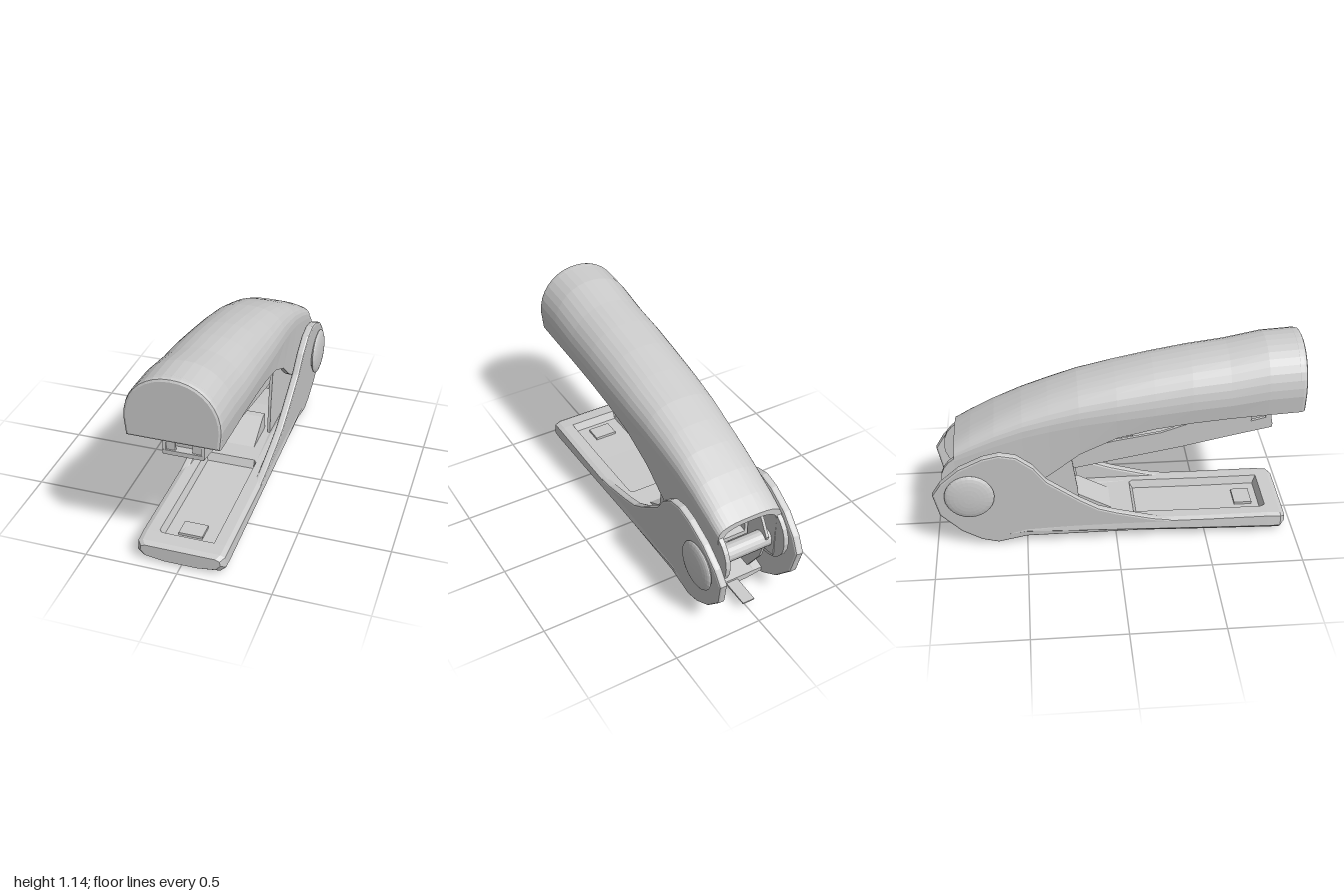
import * as THREE from 'three';

const material = new THREE.MeshStandardMaterial({ color: 0xcccccc, flatShading: true, side: THREE.DoubleSide });

function add(group, name, geometry, x = 0, y = 0, z = 0) {
  const mesh = new THREE.Mesh(geometry, material);
  mesh.name = name;
  mesh.position.set(x, y, z);
  group.add(mesh);
  return mesh;
}

// Joins mirrored, closed cross-sections running from front to back, and caps both ends
function loft(rings) {
  const n = rings[0].length, last = (rings.length - 1) * n, index = [];
  for (let i = 0; i < rings.length - 1; i++) {
    for (let k = 0; k < n; k++) {
      const a = i * n + k, b = i * n + (k + 1) % n;
      index.push(a, b, a + n, b, b + n, a + n);
    }
  }
  for (let k = 0; k < n / 2 - 1; k++) {
    const a = k, b = k + 1, c = n - 1 - k, d = n - 2 - k;
    index.push(a, c, b, b, c, d);
    index.push(last + a, last + b, last + c, last + b, last + d, last + c);
  }
  const geometry = new THREE.BufferGeometry();
  geometry.setAttribute('position', new THREE.Float32BufferAttribute(rings.flat(2), 3));
  geometry.setIndex(index);
  geometry.computeVertexNormals();
  return geometry;
}

// Extrudes a [z, y] side outline across x, centred on x = 0
function sidePlate(points, thickness, bevel = 0, holes = []) {
  const toVectors = (list) => list.map(([z, y]) => new THREE.Vector2(z, y));
  const shape = new THREE.Shape(toVectors(points));
  holes.forEach((h) => shape.holes.push(new THREE.Path(toVectors(h))));
  const depth = thickness - 2 * bevel;
  const geometry = new THREE.ExtrudeGeometry(shape, {
    depth, bevelEnabled: bevel > 0, bevelThickness: bevel, bevelSize: bevel, bevelOffset: -bevel, bevelSegments: 2,
  });
  geometry.translate(0, 0, -depth / 2);
  geometry.rotateY(-Math.PI / 2);
  return geometry;
}

// Moves vertices sideways according to their height
function lean(geometry, offset) {
  const p = geometry.attributes.position;
  for (let i = 0; i < p.count; i++) p.setX(i, p.getX(i) + offset(p.getY(i)));
  geometry.computeVertexNormals();
  return geometry;
}

// Outer half of the handle arch: bottom left, over the top, bottom right
function arch(z, top, bottom, width, rise, power, inset = 0) {
  const w = width - inset, t = top - inset, steps = 18;
  const points = [[-w * 0.96, bottom, z]];
  for (let i = 0; i <= steps; i++) {
    const a = Math.PI * (1 - i / steps), c = Math.cos(a), s = Math.sin(a);
    const x = Math.sign(c) * Math.abs(c) ** (2 / power) * w;
    points.push([x, t - rise + rise * Math.max(s, 0) ** (2 / power), z]);
  }
  points.push([w * 0.96, bottom, z]);
  return points;
}

function makeHandle(group) {
  // z, top, bottom, half width, arch rise, squareness
  const stations = [
    [0.97, 1.155, 0.805, 0.246, 0.25, 2.1], [0.8, 1.145, 0.795, 0.246, 0.25, 2.1],
    [0.6, 1.105, 0.78, 0.243, 0.24, 2.1], [0.4, 1.075, 0.76, 0.24, 0.23, 2.2],
    [0.2, 1.04, 0.73, 0.236, 0.22, 2.2], [0, 0.995, 0.68, 0.23, 0.2, 2.3],
    [-0.2, 0.945, 0.58, 0.22, 0.18, 2.4], [-0.36, 0.89, 0.45, 0.21, 0.16, 2.5],
    [-0.5, 0.835, 0.36, 0.203, 0.14, 2.7], [-0.65, 0.765, 0.3, 0.198, 0.12, 2.9],
    [-0.78, 0.695, 0.28, 0.194, 0.1, 3], [-0.87, 0.64, 0.3, 0.19, 0.08, 3],
  ];
  add(group, 'handleShell', loft(stations.map((s) => [...arch(...s), ...arch(...s, 0.028).reverse()])));

  // Closed nose with a softened edge
  const nose = new THREE.Shape(arch(...stations[0]).map(([x, y]) => new THREE.Vector2(x, y)));
  add(group, 'handleNose', new THREE.ExtrudeGeometry(nose, {
    depth: 0.02, bevelThickness: 0.02, bevelSize: 0.015, bevelOffset: -0.015, bevelSegments: 2,
  }), 0, 0, 0.96);

  // Rounded cheeks around the pivot
  for (const side of [-1, 1]) {
    const cheek = new THREE.CylinderGeometry(0.17, 0.17, 0.026, 24).rotateZ(Math.PI / 2);
    add(group, 'handleCheek', cheek, side * 0.175, 0.43, -0.78);
  }
  add(group, 'leafSpring', sidePlate([[0.78, 0.8], [0.4, 0.745], [0, 0.65], [-0.3, 0.55],
    [-0.3, 0.535], [0, 0.635], [0.4, 0.73], [0.78, 0.785]], 0.14));
  add(group, 'driverBlade', new THREE.BoxGeometry(0.1, 0.1, 0.02), 0, 0.81, 0.8);
}

function makeBase(group) {
  // z, bottom, top, tray floor, width scale
  const stations = [
    [0.95, 0.03, 0.11, 0.11, 0.9], [0.925, 0.01, 0.125, 0.125, 0.99], [0.85, 0.01, 0.13, 0.13, 1],
    [0.83, 0.012, 0.13, 0.085, 1], [0.5, 0.022, 0.13, 0.085, 1], [0.12, 0.035, 0.135, 0.09, 1],
    [0.1, 0.036, 0.135, 0.135, 1], [-0.2, 0.045, 0.135, 0.13, 1], [-0.5, 0.055, 0.13, 0.12, 0.99],
    [-0.65, 0.03, 0.11, 0.1, 0.96], [-0.74, 0.05, 0.085, 0.085, 0.92],
  ];
  add(group, 'basePlate', loft(stations.map(([z, b, t, f, w]) => {
    const left = [[-0.1, b], [-0.21, b + 0.015], [-0.24, Math.min(b + 0.045, t - 0.005)],
      [-0.235, t - 0.01], [-0.21, t], [-0.15, t], [-0.135, f]];
    const right = left.map(([x, y]) => [-x, y]).reverse();
    return [...left, ...right].map(([x, y]) => [x * w, y, z]);
  })));
  add(group, 'anvil', new THREE.BoxGeometry(0.13, 0.02, 0.1), 0, 0.09, 0.74);
  add(group, 'rampPlate', sidePlate([[-0.02, 0.13], [-0.2, 0.23], [-0.24, 0.23], [-0.24, 0.12]], 0.19));
  add(group, 'rearTab', sidePlate([[-0.7, 0.06], [-0.9, 0.06], [-0.9, 0.068], [-0.7, 0.075]], 0.07));

  const ear = [[0.35, 0.12], [0.2, 0.145], [0, 0.2], [-0.1, 0.235], [-0.2, 0.3], [-0.38, 0.44],
    [-0.45, 0.54], [-0.54, 0.615], [-0.63, 0.635], [-0.72, 0.615], [-0.85, 0.55], [-0.95, 0.46],
    [-1, 0.38], [-0.97, 0.24], [-0.86, 0.12], [-0.75, 0.05], [-0.66, 0.025], [-0.5, 0.06], [0.3, 0.06]];
  const bracket = [[-0.2, 0.12], [-0.21, 0.3], [-0.24, 0.5], [-0.45, 0.58], [-0.62, 0.62],
    [-0.76, 0.57], [-0.85, 0.42], [-0.8, 0.25], [-0.7, 0.1]];
  for (const side of [-1, 1]) {
    add(group, 'pivotEar', lean(sidePlate(ear, 0.045, 0.012), (y) => side * (0.213 + (y - 0.12) * 0.07)));
    add(group, 'innerBracket', sidePlate(bracket, 0.016), side * 0.13);
    // Domed pivot cap
    add(group, 'pivotCap', new THREE.SphereGeometry(1, 24, 14).rotateZ(Math.PI / 2).scale(0.026, 0.135, 0.135),
      side * 0.266, 0.375, -0.8);
  }
  add(group, 'pivotAxle', new THREE.CylinderGeometry(0.05, 0.05, 0.46, 16).rotateZ(Math.PI / 2), 0, 0.375, -0.8);
}

function makeMagazine(group) {
  // Channel walls with a window near the mouth
  const wall = [[0.86, 0.64], [0.84, 0.79], [0.72, 0.77], [0.64, 0.71], [0.4, 0.68], [0.25, 0.63],
    [0, 0.59], [-0.25, 0.53], [-0.7, 0.43], [-0.7, 0.34], [-0.24, 0.42], [0.35, 0.53]];
  const mouth = [[0.82, 0.7], [0.81, 0.76], [0.75, 0.75], [0.74, 0.68]];
  for (const side of [-1, 1]) {
    add(group, 'magazineWall', sidePlate(wall, 0.018, 0, [mouth]), side * 0.1);
    add(group, 'magazineLip', new THREE.BoxGeometry(0.06, 0.14, 0.015), side * 0.075, 0.71, 0.84);
  }
  add(group, 'magazineFloor', sidePlate([[0.86, 0.635], [0.35, 0.53], [-0.24, 0.42], [-0.7, 0.34],
    [-0.7, 0.365], [-0.24, 0.445], [0.35, 0.555], [0.86, 0.66]], 0.21));
  add(group, 'stapleStrip', sidePlate([[0.8, 0.65], [0.35, 0.56], [0.35, 0.62], [0.6, 0.68], [0.8, 0.7]], 0.12));
  add(group, 'pusher', sidePlate([[0.34, 0.55], [0.1, 0.5], [0.1, 0.58], [0.34, 0.64]], 0.15));
  // Return spring between the pusher and the pivot
  const coil = Array.from({ length: 97 }, (_, i) => {
    const t = i / 96, a = t * Math.PI * 24;
    return new THREE.Vector3(0.035 * Math.cos(a), 0.54 - 0.14 * t + 0.035 * Math.sin(a), 0.1 - 0.75 * t);
  });
  add(group, 'pusherSpring', new THREE.TubeGeometry(new THREE.CatmullRomCurve3(coil), 192, 0.008, 5));
}

export function createModel() {
  const model = new THREE.Group();
  model.name = 'stapler';
  const parts = { handle: makeHandle, base: makeBase, magazine: makeMagazine };
  for (const [name, build] of Object.entries(parts)) {
    const group = new THREE.Group();
    group.name = name;
    build(group);
    model.add(group);
  }
  return model;
}
